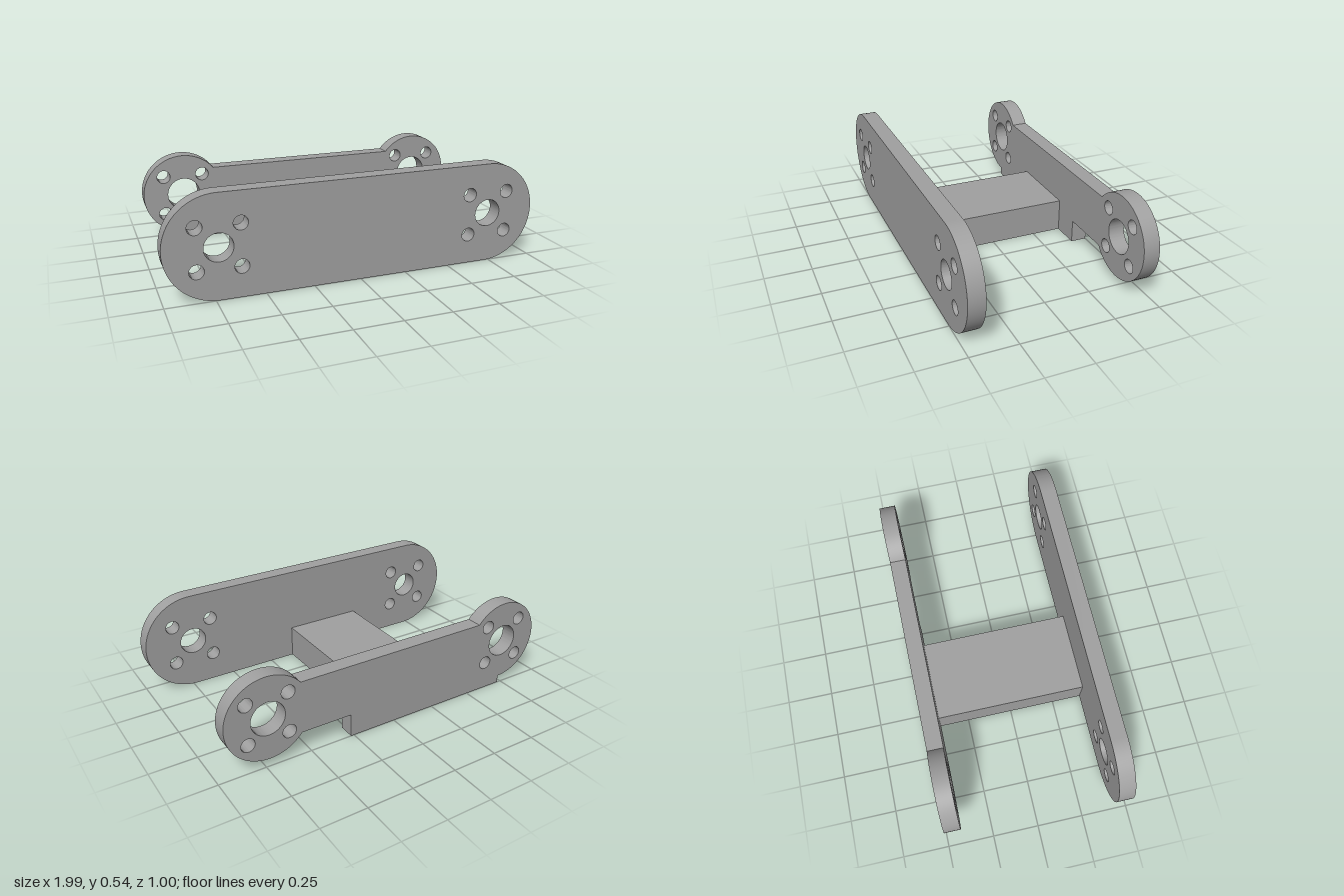
import * as THREE from 'three';
import { toCreasedNormals } from 'three/addons/utils/BufferGeometryUtils.js';

const HUB_X = 0.727, HUB_Y = 0.27, THICK = 0.088;

// One large bore surrounded by four bolt holes at each end
function addHoles(shape, boreRadius) {
  const hole = (x, y, r) => shape.holes.push(new THREE.Path().absarc(x, y, r, 0, Math.PI * 2, true));
  for (const side of [-1, 1]) {
    hole(side * HUB_X, HUB_Y, boreRadius);
    for (const dx of [-0.11, 0.11])
      for (const dy of [-0.11, 0.11]) hole(side * HUB_X + dx, HUB_Y + dy, 0.037);
  }
}

function plate(name, shape, z, material) {
  const geometry = new THREE.ExtrudeGeometry(shape, { depth: THICK, bevelEnabled: false, curveSegments: 40 });
  const mesh = new THREE.Mesh(toCreasedNormals(geometry, 0.5), material);
  mesh.name = name;
  mesh.position.z = z;
  return mesh;
}

export function createModel() {
  const group = new THREE.Group();
  group.name = 'linkBracket';
  const grey = new THREE.MeshStandardMaterial({ color: 0xa0a0a0 });
  grey.name = 'plain grey';

  // Front plate: a slot-shaped link with fully rounded ends
  const front = new THREE.Shape();
  front.absarc(HUB_X, HUB_Y, 0.27, -Math.PI / 2, Math.PI / 2, false);
  front.absarc(-HUB_X, HUB_Y, 0.27, Math.PI / 2, Math.PI * 1.5, false);
  front.closePath();
  addHoles(front, 0.073);
  group.add(plate('frontPlate', front, 0.5 - THICK, grey));

  // Back plate: narrow bar between round hubs, with an off-centre foot
  const hubRadius = 0.227, joint = 0.676;
  const barBottom = HUB_Y - hubRadius * Math.sin(joint);
  const back = new THREE.Shape();
  back.moveTo(-HUB_X, 0);
  back.lineTo(0.268, 0);
  back.lineTo(0.268, barBottom);
  back.absarc(HUB_X, HUB_Y, hubRadius, joint - Math.PI, Math.PI - joint, false);
  back.absarc(-HUB_X, HUB_Y, hubRadius, joint, Math.PI * 1.5, false);
  back.closePath();
  addHoles(back, 0.091);
  group.add(plate('backPlate', back, -0.5, grey));

  // Cross block joining the plates
  const block = new THREE.Mesh(new THREE.BoxGeometry(0.44, 0.182, 1 - 2 * THICK), grey);
  block.name = 'crossBlock';
  block.position.set(-0.112, 0.091, 0);
  group.add(block);

  return group;
}
